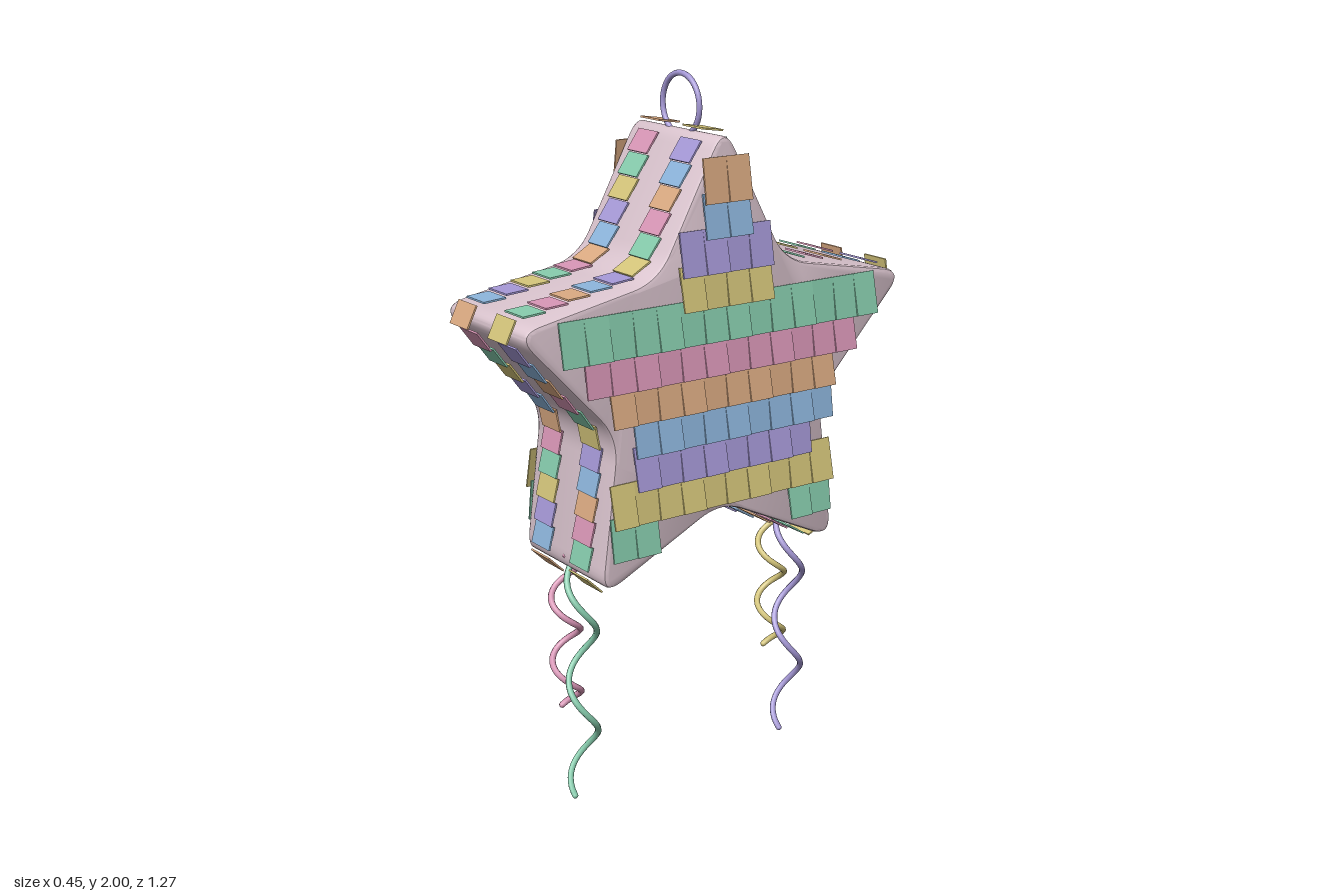
import * as THREE from 'three';
import { toCreasedNormals } from 'three/addons/utils/BufferGeometryUtils.js';

const paint = (name, color) => {
  const m = new THREE.MeshStandardMaterial({ color });
  m.name = name;
  return m;
};

// Star outline in (z, y), clockwise from the top tip, with every corner rounded
function starOutline() {
  const corners = [];
  for (let i = 0; i < 10; i++) {
    const a = (i * Math.PI) / 5, r = i % 2 ? 0.36 : 0.68;
    corners.push(new THREE.Vector2(Math.sin(a) * r, 1.2 + Math.cos(a) * r));
  }
  const toward = (a, b, d) => a.clone().add(b.clone().sub(a).setLength(d));
  const shape = new THREE.Shape();
  const start = toward(corners[0], corners[1], 0.08);
  shape.moveTo(start.x, start.y);
  for (let i = 1; i <= 10; i++) {
    const c = corners[i % 10];
    const p = toward(c, corners[i - 1], 0.08);
    const q = toward(c, corners[(i + 1) % 10], 0.08);
    shape.lineTo(p.x, p.y);
    shape.quadraticCurveTo(c.x, c.y, q.x, q.y);
  }
  return shape;
}

export function createModel() {
  const model = new THREE.Group();
  const body = paint('pale mauve paper', 0xd9c3cd);
  const orange = paint('orange paper', 0xd9a981);
  const pink = paint('pink paper', 0xd795b5);
  const green = paint('green paper', 0x86cbac);
  const yellow = paint('yellow paper', 0xd3c47a);
  const purple = paint('purple paper', 0xa598d6);
  const blue = paint('blue paper', 0x8cb4db);

  const add = (parent, name, geometry, material) => {
    const mesh = new THREE.Mesh(geometry, material);
    mesh.name = name;
    parent.add(mesh);
    return mesh;
  };
  const addGroup = (name) => {
    const g = new THREE.Group();
    g.name = name;
    model.add(g);
    return g;
  };

  // Star body, extruded along x
  const outline = starOutline();
  const star = new THREE.ExtrudeGeometry(outline, {
    depth: 0.366, bevelThickness: 0.012, bevelSize: 0.012, bevelOffset: -0.012,
    bevelSegments: 2, curveSegments: 10,
  });
  star.translate(0, 0, -0.183).rotateY(-Math.PI / 2);
  add(model, 'starBody', toCreasedNormals(star, 0.6), body);

  // Two strips of paper tabs around the rim
  const cycle = [orange, pink, green, yellow, purple, blue];
  const tab = new THREE.BoxGeometry(0.09, 0.005, 0.067);
  const length = outline.getLength();
  const halfTip = outline.curves[outline.curves.length - 1].getLength() / 2;
  for (const side of [-1, 1]) {
    const strip = addGroup(side < 0 ? 'rightRimStrip' : 'leftRimStrip');
    for (let i = 0; i < 60; i++) {
      const u = (i / 60 - halfTip / length + 1) % 1;
      const p = outline.getPointAt(u), t = outline.getTangentAt(u);
      const mesh = add(strip, 'rimTab', tab, cycle[(i + (side > 0 ? 3 : 0)) % 6]);
      mesh.position.set(side * 0.097, p.y + t.x * 0.012, p.x - t.y * 0.012);
      mesh.rotation.x = Math.atan2(-t.y, t.x) - 0.12;
    }
  }

  // Overlapping rows of paper on both faces: colour, first and last tab column
  const rows = [
    [orange, -1, 1], [blue, -1, 1], [purple, -2, 2], [yellow, -2, 2],
    [green, -7, 7], [pink, -6, 6], [orange, -5, 5], [blue, -5, 4],
    [purple, -4, 4], [yellow, -5, 5], [green, -5, 5],
  ];
  const pitch = 0.0745;
  const shingle = new THREE.BoxGeometry(0.005, 0.12, pitch).translate(0, -0.06, 0);
  for (const side of [-1, 1]) {
    const face = addGroup(side < 0 ? 'rightFacePaper' : 'leftFacePaper');
    rows.forEach(([material, from, to], k) => {
      for (let j = from; j < to; j++) {
        if (k === rows.length - 1 && j >= -3 && j < 3) continue; // gap between the legs
        const mesh = add(face, 'faceTab', shingle, material);
        mesh.position.set(side * 0.198, 1.795 - 0.0925 * k, (j + 0.5) * pitch);
        mesh.rotation.z = side * (0.14 + 0.04 * ((((j * 2 + k) % 3) + 3) % 3));
      }
    });
  }

  // Hanging ring
  add(model, 'hangingRing', new THREE.TorusGeometry(0.083, 0.008, 10, 40), purple)
    .position.set(0, 1.907, 0);

  // Curled streamers below the two lower points
  const streamer = (name, material, x, z, bottom, period, peak) => {
    const pts = [];
    for (let i = 0; i <= 60; i++) {
      const y = bottom + ((0.71 - bottom) * i) / 60;
      const a = ((y - peak) / period) * Math.PI * 2;
      pts.push(new THREE.Vector3(x + 0.04 * Math.cos(a), y, z + 0.04 * Math.sin(a)));
    }
    add(model, name, new THREE.TubeGeometry(new THREE.CatmullRomCurve3(pts), 120, 0.009, 8), material);
    for (const end of [pts[0], pts[60]])
      add(model, name + 'End', new THREE.SphereGeometry(0.009, 8, 6), material).position.copy(end);
  };
  streamer('frontLongStreamer', green, 0.042, 0.365, 0.009, 0.3, 0.245);
  streamer('frontShortStreamer', pink, -0.042, 0.365, 0.225, 0.19, 0.315);
  streamer('backLongStreamer', purple, 0.042, -0.365, 0.009, 0.3, 0.25);
  streamer('backShortStreamer', yellow, -0.042, -0.365, 0.225, 0.19, 0.315);

  return model;
}
